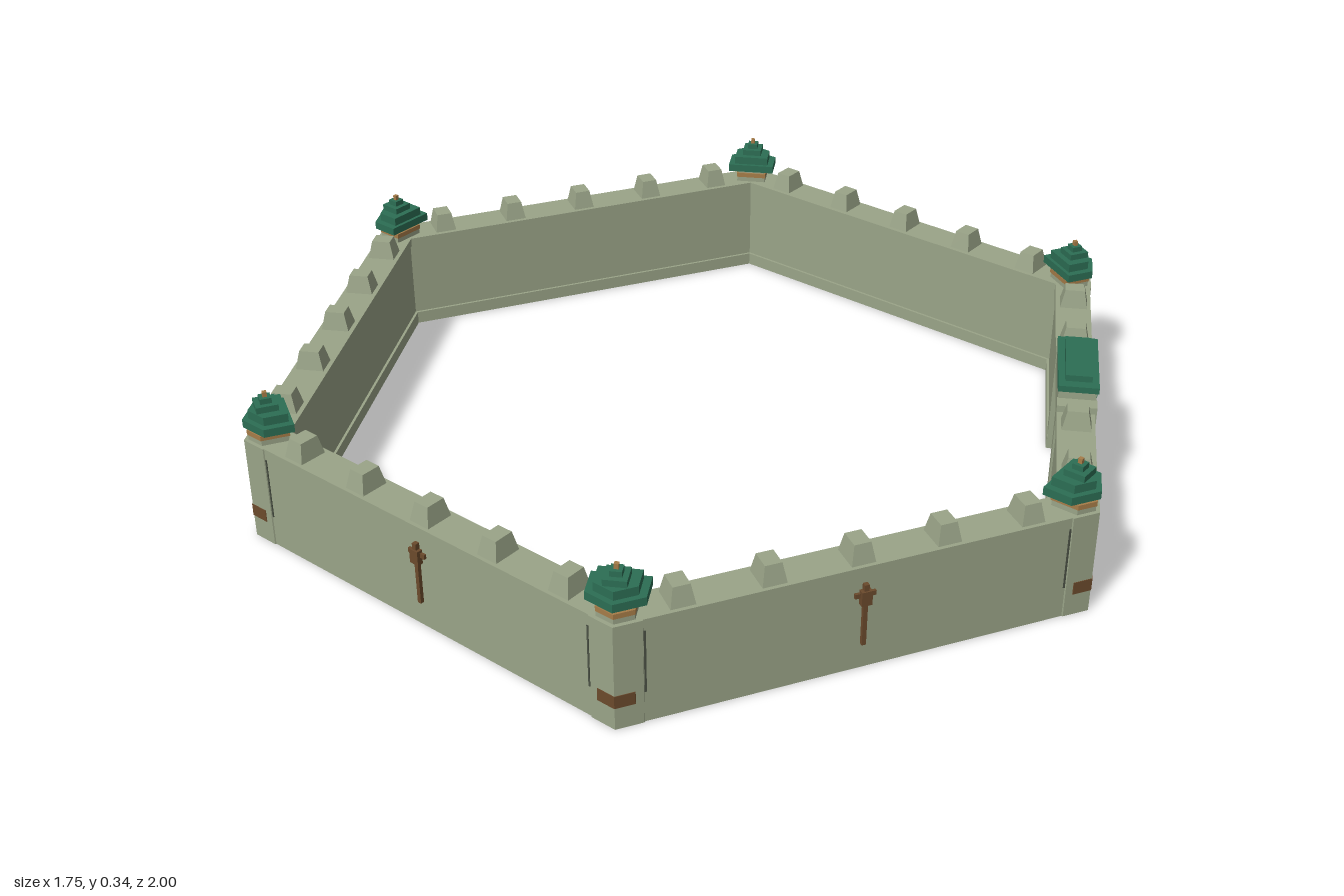
import * as THREE from 'three';

const mat = (name, color) => {
  const m = new THREE.MeshStandardMaterial({ color });
  m.name = name;
  return m;
};

export function createModel() {
  const stone = mat('stone', 0x9aa488);
  const green = mat('green roof', 0x2c6e54);
  const wood = mat('door wood', 0x7d6036);
  const darkWood = mat('dark wood', 0x6b4a2c);
  const tan = mat('tan trim', 0xa67c48);
  const shade = mat('dark groove', 0x4b5145);

  const model = new THREE.Group();
  model.name = 'hexagonalFortress';

  const OUT = 0.863, IN = 0.787, TOP = 0.235, T = Math.tan(Math.PI / 6);

  const add = (parent, name, geo, m) => {
    const mesh = new THREE.Mesh(geo, m);
    mesh.name = name;
    parent.add(mesh);
    return mesh;
  };
  const box = (parent, name, m, w, h, d, x, y, z) => {
    const b = add(parent, name, new THREE.BoxGeometry(w, h, d), m);
    b.position.set(x, y, z);
    return b;
  };
  // Upright prism from a plan outline of [x, z] points
  const slab = (parent, name, m, pts, y0, y1) => {
    const shape = new THREE.Shape(pts.map(([x, z]) => new THREE.Vector2(x, -z)));
    const geo = new THREE.ExtrudeGeometry(shape, { depth: y1 - y0, bevelEnabled: false });
    geo.rotateX(-Math.PI / 2).translate(0, y0, 0);
    return add(parent, name, geo, m);
  };
  // Wall strip with mitred ends, optionally split by a gap of half width g
  const strip = (parent, name, m, zi, zo, y0, y1, g) => {
    if (!g) return slab(parent, name, m, [[-zo * T, zo], [zo * T, zo], [zi * T, zi], [-zi * T, zi]], y0, y1);
    for (const s of [-1, 1])
      slab(parent, name, m, [[s * g, zo], [s * zo * T, zo], [s * zi * T, zi], [s * g, zi]], y0, y1);
  };
  // Block whose top is smaller than its base
  const taperedBox = (w, h, d, k) => {
    const geo = new THREE.BoxGeometry(w, h, d);
    const p = geo.attributes.position;
    for (let i = 0; i < p.count; i++)
      if (p.getY(i) > 0) p.setXYZ(i, p.getX(i) * k, p.getY(i), p.getZ(i) * k);
    geo.computeVertexNormals();
    return geo;
  };
  const merlonGeo = taperedBox(0.05, 0.042, 0.062, 0.7);
  // Five-sided plan pointing out along the corner
  const cornerPlan = (w, inner, tip) =>
    [[-w, inner], [w, inner], [w, tip - w * T], [0, tip], [-w, tip - w * T]];

  const buildGate = (g) => {
    for (const s of [-1, 1]) {
      box(g, 'gatePier', stone, 0.036, 0.25, 0.084, s * 0.115, 0.125, 0.825);
      box(g, 'doorLeaf', wood, 0.094, 0.192, 0.05, s * 0.0485, 0.104, 0.83);
      for (const y of [0.045, 0.13])
        box(g, 'doorRail', darkWood, 0.09, 0.007, 0.056, s * 0.0485, y, 0.83);
      for (const x of [0.005, 0.092])
        box(g, 'doorStile', darkWood, 0.005, 0.19, 0.054, s * x, 0.104, 0.83);
      const ring = add(g, 'doorRing', new THREE.TorusGeometry(0.008, 0.002, 5, 12), tan);
      ring.position.set(s * 0.018, 0.105, 0.858);
    }
    box(g, 'gateLintel', stone, 0.2, 0.07, 0.08, 0, 0.236, 0.825);
    box(g, 'gateCrest', green, 0.05, 0.026, 0.008, 0, 0.226, 0.868);
    box(g, 'crestCentre', tan, 0.012, 0.01, 0.01, 0, 0.226, 0.869);
    box(g, 'gateRoofLower', green, 0.216, 0.014, 0.086, 0, 0.277, 0.826);
    box(g, 'gateRoofUpper', green, 0.17, 0.014, 0.056, 0, 0.291, 0.826);
  };

  const buildTorch = (g) => {
    box(g, 'torchPole', darkWood, 0.009, 0.1, 0.008, 0, 0.108, OUT + 0.004);
    box(g, 'torchBracket', darkWood, 0.044, 0.01, 0.006, 0, 0.175, OUT + 0.003);
    box(g, 'torchHead', darkWood, 0.022, 0.032, 0.014, 0, 0.17, OUT + 0.006);
    box(g, 'torchTip', darkWood, 0.01, 0.014, 0.01, 0, 0.193, OUT + 0.005);
  };

  // Six walls, the first of which holds the gate
  for (let i = 0; i < 6; i++) {
    const side = new THREE.Group();
    side.name = i ? 'wallSide' : 'gateSide';
    side.rotation.y = Math.PI / 6 + i * Math.PI / 3;
    model.add(side);
    const gap = i ? 0 : 0.098;
    strip(side, 'wall', stone, IN, OUT, 0, TOP, gap);
    strip(side, 'innerPlinth', stone, IN - 0.006, IN, 0, 0.03, gap);
    strip(side, 'innerCoping', stone, IN - 0.004, IN, 0.215, TOP, gap);
    for (const x of [-0.36, -0.18, 0, 0.18, 0.36]) {
      if (!i && x === 0) continue;
      const merlon = add(side, 'merlon', merlonGeo, stone);
      merlon.position.set(x, TOP + 0.021, 0.824);
    }
    for (const s of [-1, 1])
      box(side, 'cornerGroove', shade, 0.004, 0.14, 0.002, s * 0.438, 0.14, OUT + 0.0005);
    if (i) buildTorch(side);
    else buildGate(side);
  }

  // Six corner turrets with stepped roofs
  for (let i = 0; i < 6; i++) {
    const c = new THREE.Group();
    c.name = 'cornerTurret';
    c.rotation.y = i * Math.PI / 3;
    model.add(c);
    slab(c, 'cornerPost', stone, cornerPlan(0.05, 0.93, 0.9995), 0, TOP);
    slab(c, 'lowerBand', darkWood, cornerPlan(0.036, 0.95, 1.001), 0.05, 0.078);
    slab(c, 'turretNeck', stone, cornerPlan(0.036, 0.912, 0.99), TOP, 0.247);
    slab(c, 'turretBand', tan, cornerPlan(0.037, 0.91, 0.992), 0.247, 0.258);
    slab(c, 'turretUpperNeck', stone, cornerPlan(0.033, 0.914, 0.986), 0.258, 0.268);
    slab(c, 'roofEave', green, cornerPlan(0.057, 0.902, 0.998), 0.266, 0.284);
    slab(c, 'roofMiddle', green, cornerPlan(0.042, 0.91, 0.985), 0.284, 0.303);
    box(c, 'roofUpper', green, 0.046, 0.014, 0.046, 0, 0.31, 0.947);
    box(c, 'roofCap', green, 0.024, 0.012, 0.024, 0, 0.323, 0.947);
    box(c, 'finial', tan, 0.009, 0.012, 0.009, 0, 0.334, 0.947);
  }
  return model;
}
